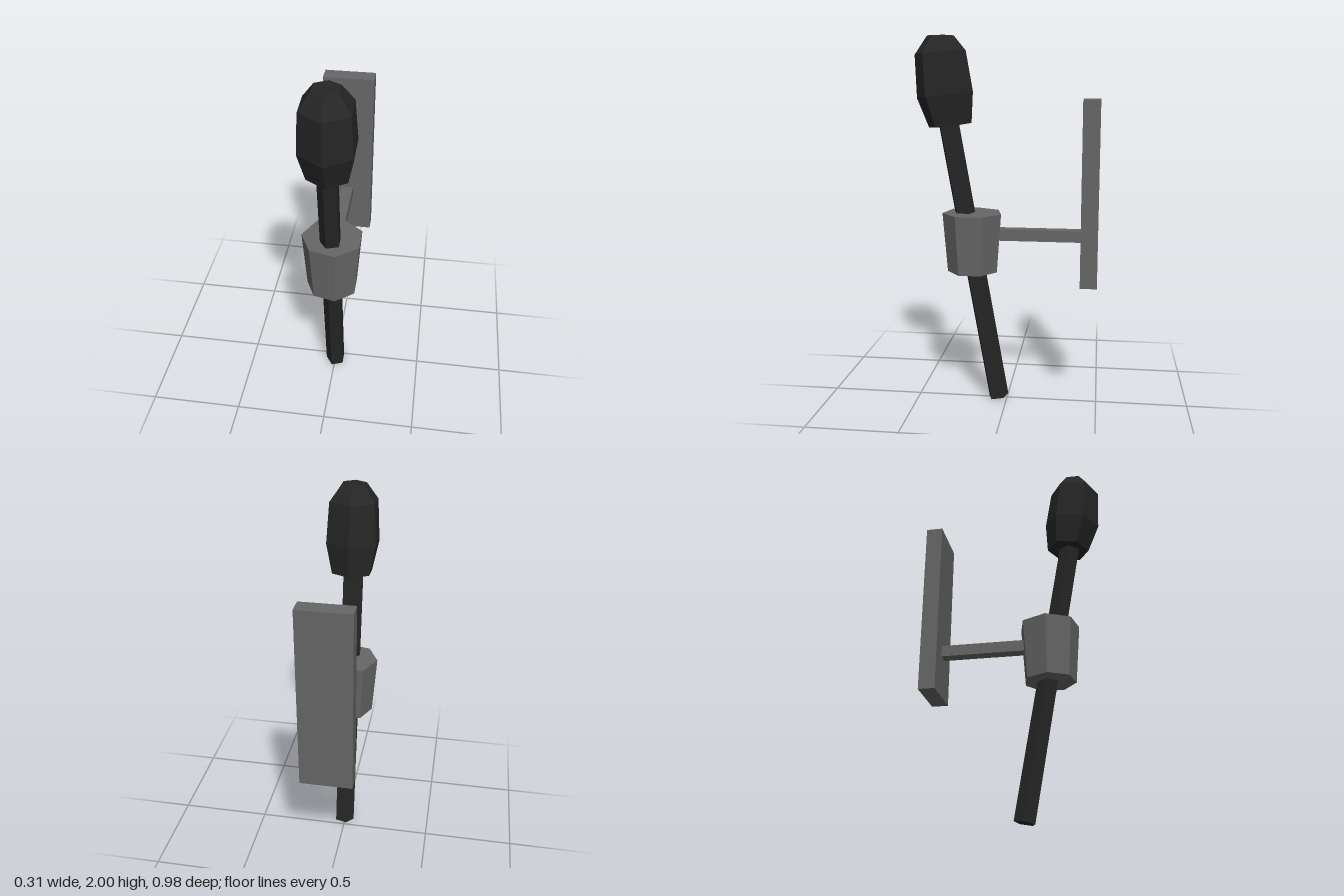
import * as THREE from 'three';

const SPIN = -Math.PI / 2; // puts a prism corner on -x

// Closed skin over regular rings { r, y, z, tilt }, listed bottom to top
function ringSkin(rings, sides, cx) {
  const loops = rings.map(({ r, y, z, tilt }) =>
    Array.from({ length: sides }, (_, i) => {
      const a = (i / sides) * Math.PI * 2;
      const d = Math.cos(a) * r;
      return [cx + Math.sin(a) * r, y - d * Math.sin(tilt), z + d * Math.cos(tilt)];
    }));
  const first = rings[0], last = rings[rings.length - 1];
  const bottom = [cx, first.y, first.z], top = [cx, last.y, last.z];
  const pos = [];
  for (let i = 0; i < sides; i++) {
    const j = (i + 1) % sides;
    for (let k = 0; k < loops.length - 1; k++) {
      const lo = loops[k], hi = loops[k + 1];
      pos.push(...lo[i], ...lo[j], ...hi[j], ...lo[i], ...hi[j], ...hi[i]);
    }
    pos.push(...bottom, ...loops[0][j], ...loops[0][i]);
    pos.push(...top, ...loops[loops.length - 1][i], ...loops[loops.length - 1][j]);
  }
  const geo = new THREE.BufferGeometry();
  geo.setAttribute('position', new THREE.Float32BufferAttribute(pos, 3));
  geo.computeVertexNormals();
  return geo;
}

export function createModel() {
  const group = new THREE.Group();
  const metal = new THREE.MeshStandardMaterial({ color: 0x666666, flatShading: true });
  metal.name = 'grey metal';
  const charred = new THREE.MeshStandardMaterial({ color: 0x262626, flatShading: true });
  charred.name = 'charred black';

  const add = (name, geo, mat, x = 0, y = 0, z = 0) => {
    const mesh = new THREE.Mesh(geo, mat);
    mesh.name = name;
    mesh.position.set(x, y, z);
    group.add(mesh);
    return mesh;
  };

  // Wall mount
  add('wallPlate', new THREE.BoxGeometry(0.276, 0.98, 0.09), metal, 0.007, 1.185, -0.447);
  add('bracketArm', new THREE.BoxGeometry(0.065, 0.062, 0.49), metal, 0.007, 0.95, -0.165);

  // Seven-sided cup, wider at the top
  const cup = add('holderCup', new THREE.CylinderGeometry(0.164, 0.139, 0.324, 7), metal, 0.007, 0.903, 0.187);
  cup.rotation.y = SPIN;

  // Five-sided shaft leaning forward
  const tilt = THREE.MathUtils.degToRad(9.9);
  const length = 1.6;
  const shaft = add('shaft', new THREE.CylinderGeometry(0.057, 0.057, length, 5), charred,
    0.0045, 0.011 + Math.cos(tilt) * length / 2, 0.048 + Math.sin(tilt) * length / 2);
  shaft.rotation.set(tilt, SPIN, 0);

  // Six-sided head whose rings level out towards the tip
  add('torchHead', ringSkin([
    { r: 0.116, y: 1.535, z: 0.304, tilt: 0.116 },
    { r: 0.152, y: 1.695, z: 0.331, tilt: 0.122 },
    { r: 0.137, y: 1.913, z: 0.353, tilt: 0.077 },
    { r: 0.071, y: 2.0, z: 0.35, tilt: 0 },
  ], 6, 0.0075), charred);

  return group;
}
